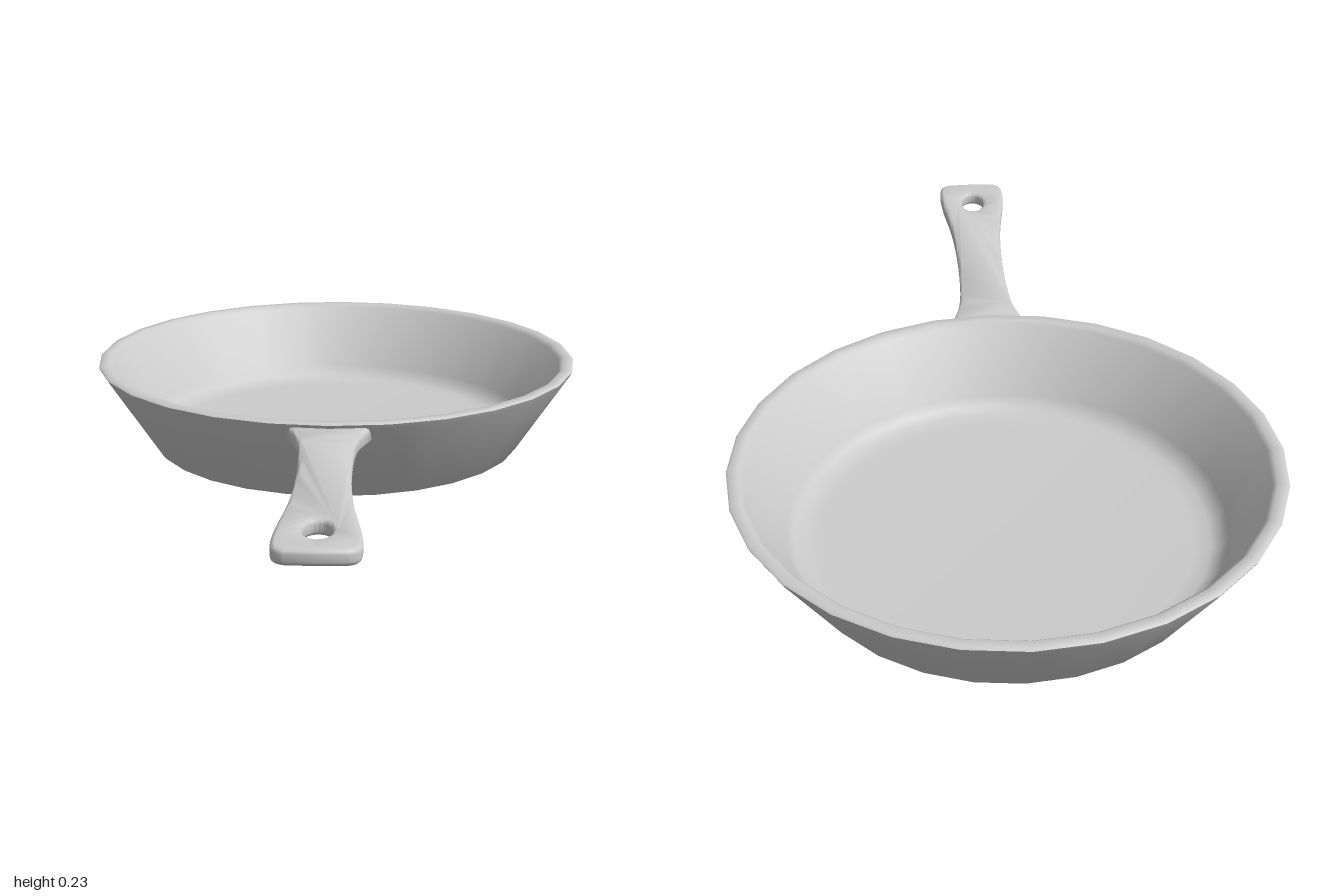
import * as THREE from 'three';
import { toCreasedNormals } from 'three/addons/utils/BufferGeometryUtils.js';

const material = new THREE.MeshStandardMaterial({ color: 0xcccccc });
const PAN_Z = -0.377;

// Pan: one closed profile, from the base up the outside, over the rim and down to the floor
function makePan() {
  const profile = [
    [0, 0], [0.15, 0], [0.478, 0.005], [0.483, 0.01],
    [0.618, 0.217], [0.623, 0.227], [0.618, 0.231], [0.597, 0.231], [0.586, 0.222],
    [0.503, 0.065], [0.488, 0.044], [0.466, 0.033], [0.43, 0.03], [0, 0.03],
  ].map(([r, y]) => new THREE.Vector2(r, y));
  const pan = new THREE.Mesh(toCreasedNormals(new THREE.LatheGeometry(profile, 28), 0.7), material);
  pan.name = 'pan';
  pan.position.z = PAN_Z;
  return pan;
}

// Handle: waisted outline with a hanging hole, softly bevelled
function makeHandle() {
  const side = new THREE.SplineCurve([
    [0.1, 0.205], [0.088, 0.25], [0.068, 0.33], [0.06, 0.45], [0.06, 0.6],
    [0.068, 0.74], [0.084, 0.87], [0.089, 0.95], [0.082, 0.985], [0.06, 0.998],
  ].map(([x, z]) => new THREE.Vector2(x, z))).getPoints(27);
  const outline = [
    ...side,
    new THREE.Vector2(0, 1),
    ...side.map((p) => new THREE.Vector2(-p.x, p.y)).reverse(),
  ];
  const shape = new THREE.Shape(outline);
  shape.holes.push(new THREE.Path().absellipse(0, 0.885, 0.03, 0.05, 0, Math.PI * 2, true));

  const bevel = 0.01;
  const geometry = new THREE.ExtrudeGeometry(shape, {
    depth: 0.015, curveSegments: 10,
    bevelThickness: bevel, bevelSize: bevel, bevelOffset: -bevel, bevelSegments: 3,
  });
  geometry.rotateX(Math.PI / 2);
  geometry.translate(0, 0.209, 0);

  // Thicken the root slightly where it meets the pan
  const pos = geometry.attributes.position;
  for (let i = 0; i < pos.count; i++) {
    const root = THREE.MathUtils.clamp((0.32 - pos.getZ(i)) / 0.1, 0, 1);
    if (pos.getY(i) < 0.2) pos.setY(i, pos.getY(i) - 0.006 * root);
  }
  const handle = new THREE.Mesh(toCreasedNormals(geometry, 0.8), material);
  handle.name = 'handle';
  return handle;
}

export function createModel() {
  const model = new THREE.Group();
  model.name = 'fryingPan';
  model.add(makePan(), makeHandle());
  return model;
}
